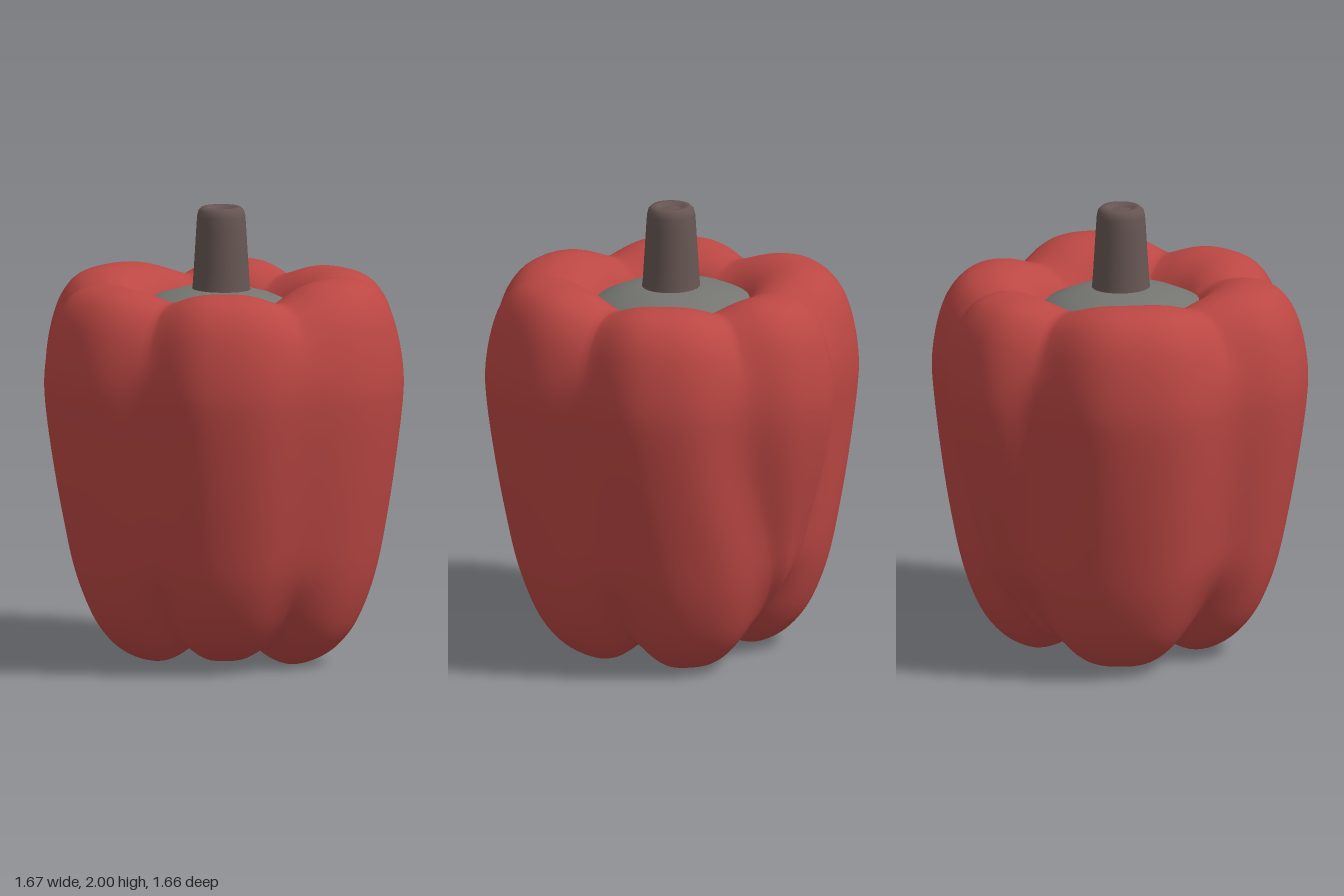
import * as THREE from 'three';

const { degToRad, smoothstep, lerp } = THREE.MathUtils;

// Each lobe: angle (at the shoulder and underneath) and depth of the crease it starts at,
// crest height offset, bottom offset, and how far it fades away towards the bottom
const lobes = [
  { angle: -66, foot: -52, depth: 0.11, top: 0.0, bottom: 0.0, fade: 1 },
  { angle: -17, foot: -40, depth: 0.075, top: 0.0, bottom: 0.0, fade: 0 },
  { angle: 39, foot: 32, depth: 0.085, top: 0.03, bottom: 0.0, fade: 0 },
  { angle: 104, foot: 102, depth: 0.04, top: 0.0, bottom: 0.04, fade: 0 },
  { angle: 159, foot: 159, depth: 0.085, top: 0.0, bottom: 0.02, fade: 0 },
  { angle: 222, foot: 219, depth: 0.11, top: 0.01, bottom: 0.01, fade: 0 },
];

// Crest profile (radius, height), from the hollow underneath, round the outside, into the top
const crest = [
  [0.07, 0.2], [0.14, 0.1], [0.24, 0.03], [0.36, 0.0], [0.47, 0.035], [0.56, 0.11],
  [0.63, 0.22], [0.695, 0.4], [0.75, 0.65], [0.795, 0.9], [0.83, 1.15], [0.835, 1.3],
  [0.81, 1.46], [0.765, 1.58], [0.69, 1.66], [0.58, 1.69], [0.48, 1.675], [0.4, 1.63],
  [0.34, 1.56], [0.3, 1.48],
];

function lobedBody() {
  const curve = new THREE.SplineCurve(crest.map(([r, y]) => new THREE.Vector2(r, y)));
  const rings = 90, perLobe = 28, cols = lobes.length * perLobe;
  const pos = [], index = [];
  for (let i = 0; i <= rings; i++) {
    const p = curve.getPoint(i / rings);
    const topW = smoothstep(p.y, 1.3, 1.68);
    const bottomW = 1 - smoothstep(p.y, 0.05, 0.55);
    const footW = 1 - smoothstep(p.y, 0.1, 1.2);
    const creaseAngle = (lobe) => lerp(lobe.angle, lobe.foot, footW);
    for (let j = 0; j < cols; j++) {
      const k = Math.floor(j / perLobe), t = (j % perLobe) / perLobe;
      const lobe = lobes[k], next = lobes[(k + 1) % lobes.length];
      const end = creaseAngle(next) + (k === lobes.length - 1 ? 360 : 0);
      const a = degToRad(lerp(creaseAngle(lobe), end, t));
      // g is 0 on the crest and 1 in the crease; creases are tighter at both ends
      const soft = Math.pow(0.5 + 0.5 * Math.cos(2 * Math.PI * t), 1.9);
      const tight = Math.pow(Math.abs(2 * t - 1), 2.6);
      const relief = lerp(soft, tight, 0.5 * Math.max(topW, bottomW));
      const g = lerp(relief, 1, lobe.fade * footW);
      const depth = lerp(lobe.depth, next.depth, smoothstep(t, 0.3, 0.7));
      const r = p.x * (1 - depth * g * (1 + 0.8 * bottomW + 0.3 * topW));
      const y = p.y + topW * (lobe.top * (1 - g) - 0.055 * g)
        + bottomW * (lobe.bottom * (1 - g) + 0.09 * g);
      pos.push(r * Math.cos(a), y, r * Math.sin(a));
      if (i < rings) {
        const j2 = (j + 1) % cols;
        const p0 = i * cols + j, p1 = i * cols + j2;
        index.push(p0, p0 + cols, p1, p1, p0 + cols, p1 + cols);
      }
    }
  }
  const geo = new THREE.BufferGeometry();
  geo.setAttribute('position', new THREE.Float32BufferAttribute(pos, 3));
  geo.setIndex(index);
  geo.computeVertexNormals();
  return geo;
}

function turned(points) {
  return new THREE.LatheGeometry(points.map(([r, y]) => new THREE.Vector2(r, y)), 48);
}

export function createModel() {
  const group = new THREE.Group();
  const red = new THREE.MeshStandardMaterial({ color: 0xbb4743, side: THREE.DoubleSide });
  const grey = new THREE.MeshStandardMaterial({ color: 0x757571, side: THREE.DoubleSide });
  const brown = new THREE.MeshStandardMaterial({ color: 0x665653 });

  const add = (name, geometry, material, x = 0, z = 0) => {
    const mesh = new THREE.Mesh(geometry, material);
    mesh.name = name;
    mesh.position.set(x, 0, z);
    group.add(mesh);
  };

  add('lobedBody', lobedBody(), red);

  // Shallow cone under the stem, tucked into the ring of lobes
  add('calyx', turned([[0.38, 1.53], [0.34, 1.57], [0.25, 1.61], [0.16, 1.635], [0, 1.65]]),
    grey, -0.02, -0.02);

  // Small plug in the hollow underneath
  add('bottomPlug', turned([[0, 0.18], [0.06, 0.19], [0.13, 0.22]]), grey);

  // Tapered stem with a rounded rim and a shallow ring cut into its end
  add('stem', turned([
    [0.13, 1.62], [0.125, 1.66], [0.121, 1.72], [0.116, 1.8], [0.11, 1.9], [0.106, 1.96],
    [0.1, 1.985], [0.085, 2.0], [0.062, 2.0], [0.052, 1.985], [0.042, 1.985], [0, 1.99],
  ]), brown, -0.005, 0);

  return group;
}
